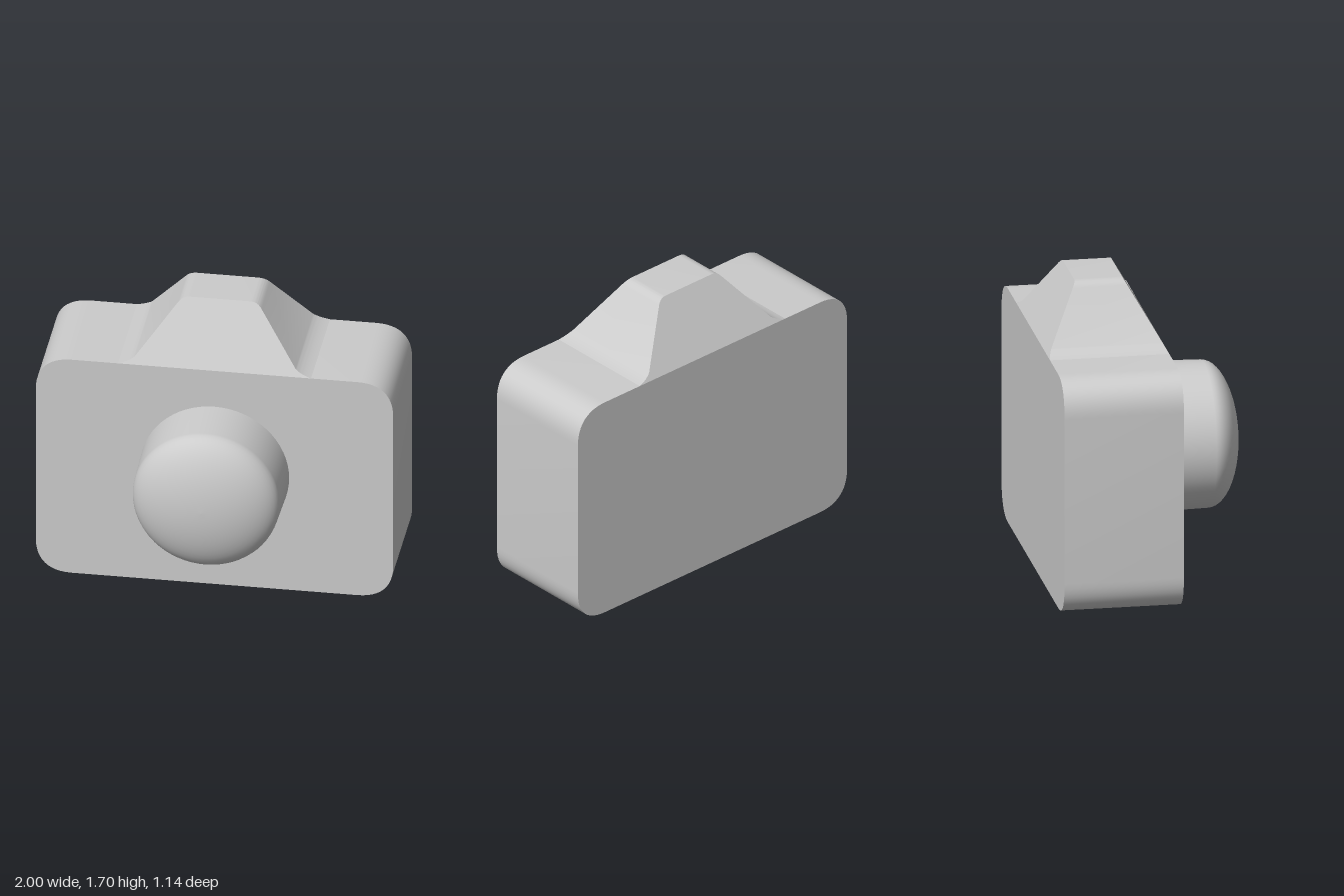
import * as THREE from 'three';
import { toCreasedNormals } from 'three/addons/utils/BufferGeometryUtils.js';

const FRONT = 0.1, BACK = -0.57, TOP = 1.355, PEAK = 1.7;
const material = new THREE.MeshStandardMaterial({ color: 0xcccccc });

function part(name, geometry) {
  const mesh = new THREE.Mesh(geometry, material);
  mesh.name = name;
  return mesh;
}

function extrude(shape) {
  const geometry = new THREE.ExtrudeGeometry(shape, {
    depth: FRONT - BACK, bevelEnabled: false, curveSegments: 12,
  });
  return geometry.translate(0, 0, BACK);
}

// Box outline with soft, slightly square corners
function createBody() {
  const r = 0.2, k = 0.07;
  const s = new THREE.Shape();
  s.moveTo(-1 + r, 0);
  s.lineTo(1 - r, 0);
  s.bezierCurveTo(1 - k, 0, 1, k, 1, r);
  s.lineTo(1, TOP - r);
  s.bezierCurveTo(1, TOP - k, 1 - k, TOP, 1 - r, TOP);
  s.lineTo(-1 + r, TOP);
  s.bezierCurveTo(-1 + k, TOP, -1, TOP - k, -1, TOP - r);
  s.lineTo(-1, r);
  s.bezierCurveTo(-1, k, -1 + k, 0, -1 + r, 0);
  return part('body', toCreasedNormals(extrude(s), 0.6));
}

// Viewfinder hump: trapezoid whose front and back lean inward with height
function createHump() {
  const s = new THREE.Shape();
  s.moveTo(-0.54, TOP);
  s.lineTo(0.54, TOP);
  s.quadraticCurveTo(0.48, TOP + 0.015, 0.45, 1.395);
  s.lineTo(0.235, 1.667);
  s.quadraticCurveTo(0.21, PEAK, 0.17, PEAK);
  s.lineTo(-0.17, PEAK);
  s.quadraticCurveTo(-0.21, PEAK, -0.235, 1.667);
  s.lineTo(-0.45, 1.395);
  s.quadraticCurveTo(-0.48, TOP + 0.015, -0.54, TOP);

  const geometry = extrude(s);
  const p = geometry.attributes.position;
  const middle = (FRONT + BACK) / 2;
  for (let i = 0; i < p.count; i++) {
    const inset = 0.2 * (p.getY(i) - TOP) / (PEAK - TOP);
    p.setZ(i, p.getZ(i) - Math.sign(p.getZ(i) - middle) * inset);
  }
  return part('viewfinderHump', toCreasedNormals(geometry, 0.6));
}

// Slightly tapered barrel closed by a shallow dome
function createLens() {
  const profile = [new THREE.Vector2(0.418, FRONT - 0.02)];
  const steps = 14;
  for (let i = 0; i <= steps; i++) {
    const a = (i / steps) * Math.PI / 2;
    profile.push(new THREE.Vector2(
      i === steps ? 0 : 0.411 * Math.cos(a), 0.39 + 0.18 * Math.sin(a)));
  }
  const lens = part('lens', new THREE.LatheGeometry(profile, 64));
  lens.rotation.x = Math.PI / 2;
  lens.position.y = 0.71;
  return lens;
}

export function createModel() {
  const model = new THREE.Group();
  model.name = 'camera';
  model.add(createBody(), createHump(), createLens());
  return model;
}
